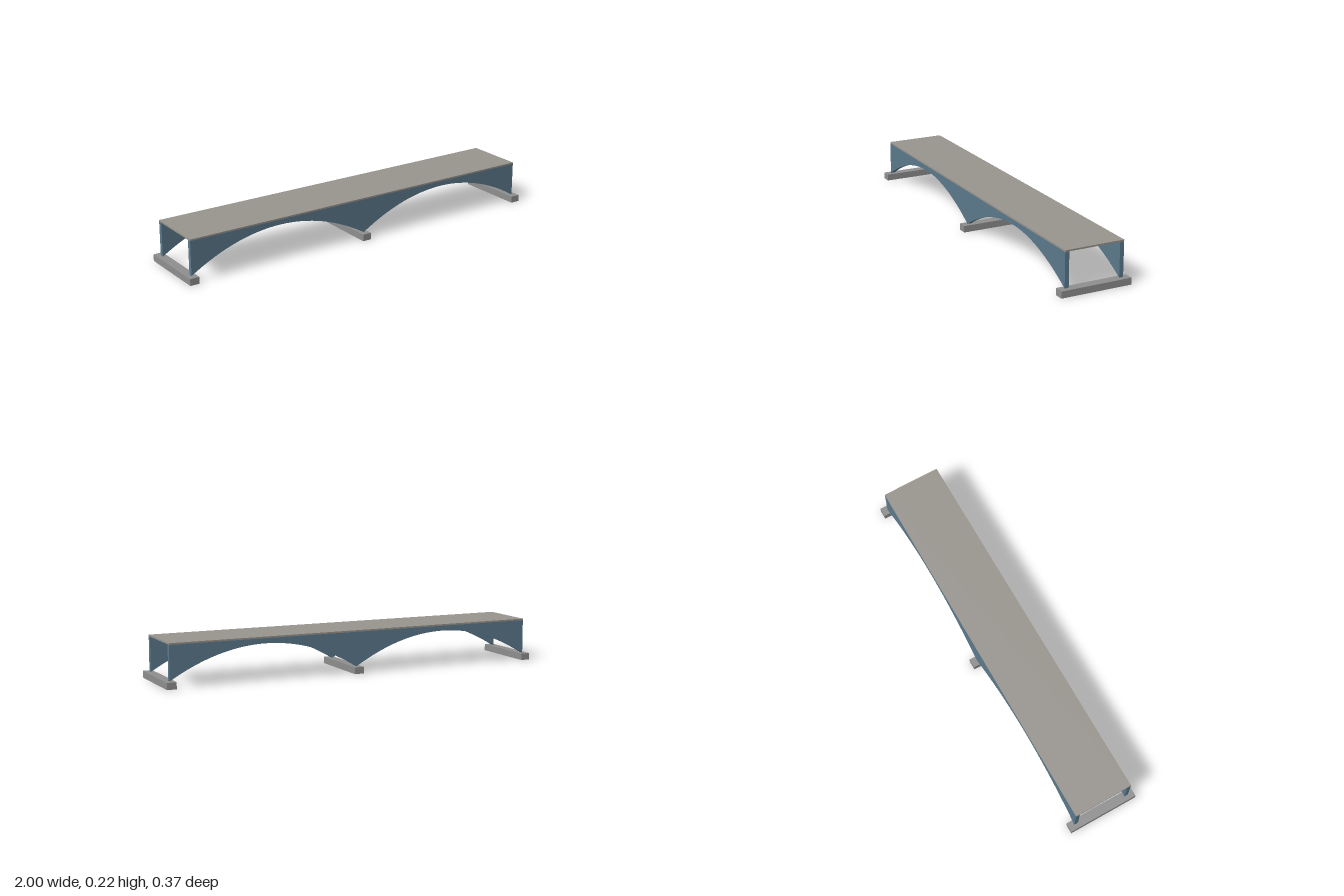
import * as THREE from 'three';

const steel = new THREE.MeshStandardMaterial({ color: 0x5b7a8c });
const deckGrey = new THREE.MeshStandardMaterial({ color: 0x98948e });
const stone = new THREE.MeshStandardMaterial({ color: 0x8f8f8f });

const HALF = 0.976;        // half the bridge length
const BASE = 0.034;        // top of the bearing blocks
const CROWN = 0.182;       // underside of the arches at mid-span
const DECK_BOTTOM = 0.207;
const DECK_TOP = 0.215;
const HALF_WIDTH = 0.153;
const GIRDER = 0.021;      // girder thickness

function addBox(group, name, material, size, position) {
  const mesh = new THREE.Mesh(new THREE.BoxGeometry(...size), material);
  mesh.name = name;
  mesh.position.set(...position);
  group.add(mesh);
}

// Side girder outline: straight top, two parabolic arches below
function girderGeometry() {
  const shape = new THREE.Shape();
  shape.moveTo(HALF, DECK_BOTTOM);
  shape.lineTo(-HALF, DECK_BOTTOM);
  shape.lineTo(-HALF, BASE);
  const control = 2 * CROWN - BASE;
  shape.quadraticCurveTo(-HALF / 2, control, 0, BASE);
  shape.quadraticCurveTo(HALF / 2, control, HALF, BASE);
  return new THREE.ExtrudeGeometry(shape, { depth: GIRDER, bevelEnabled: false, curveSegments: 32 });
}

export function createModel() {
  const bridge = new THREE.Group();
  bridge.name = 'archBridge';

  addBox(bridge, 'deck', deckGrey,
    [2 * HALF, DECK_TOP - DECK_BOTTOM, 2 * HALF_WIDTH],
    [0, (DECK_TOP + DECK_BOTTOM) / 2, 0]);

  // Front and back girders
  const geometry = girderGeometry();
  for (const [name, z] of [['frontGirder', HALF_WIDTH - GIRDER], ['backGirder', -HALF_WIDTH]]) {
    const girder = new THREE.Mesh(geometry, steel);
    girder.name = name;
    girder.position.z = z;
    bridge.add(girder);
  }

  // Bearing blocks under the ends and the middle
  for (const [name, x] of [['rightBearing', -HALF], ['middleBearing', 0], ['leftBearing', HALF]]) {
    addBox(bridge, name, stone, [0.048, BASE, 0.366], [x, BASE / 2, 0]);
  }
  return bridge;
}
